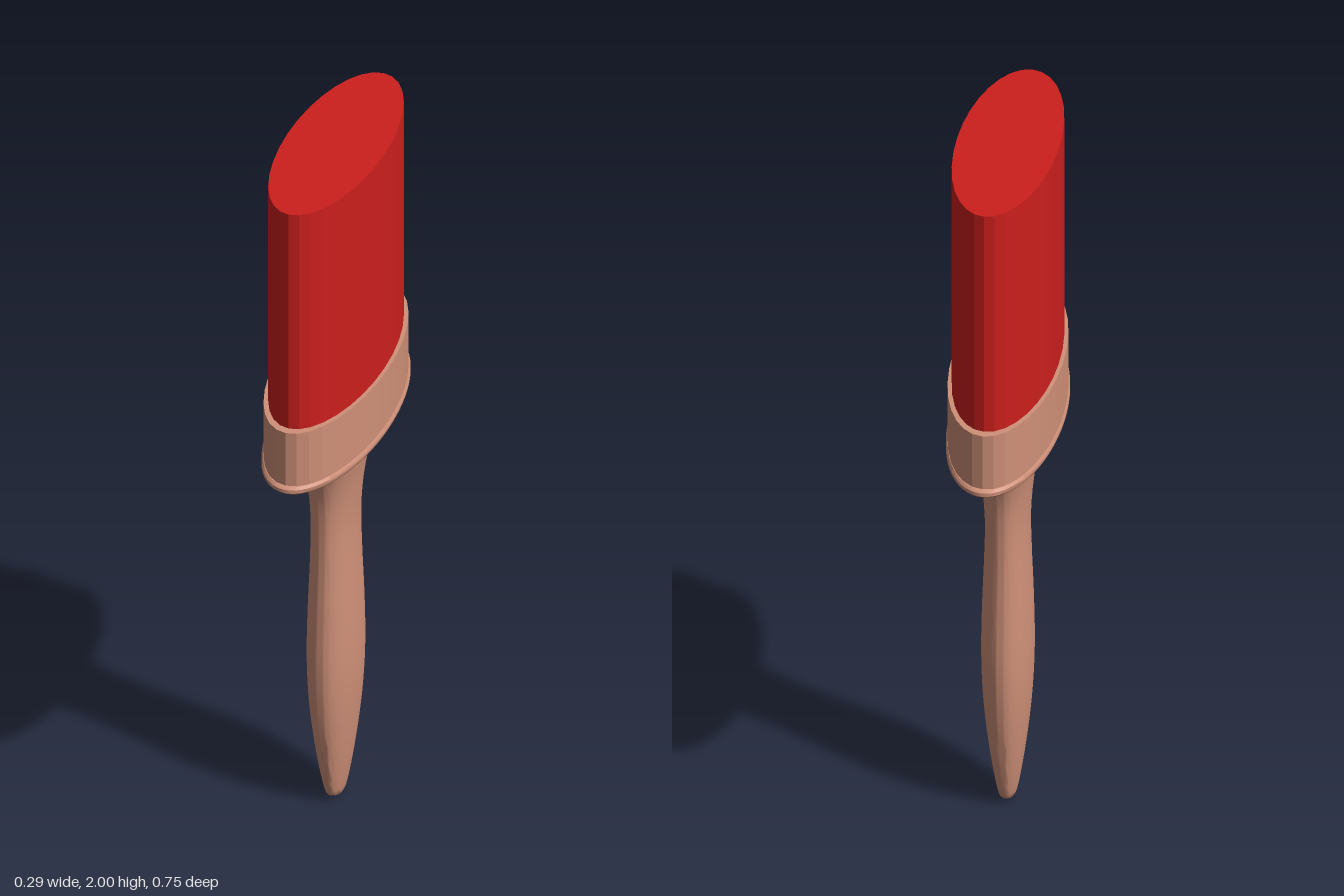
import * as THREE from 'three';
import { toCreasedNormals } from 'three/addons/utils/BufferGeometryUtils.js';

// Loft of elliptical sections, each [y, half width in x, half width in z], bottom to top.
function ellipticalLoft(sections, sides) {
  const geometry = new THREE.LatheGeometry(sections.map(([y]) => new THREE.Vector2(1, y)), sides);
  const position = geometry.attributes.position;
  for (let i = 0; i < position.count; i++) {
    const [, rx, rz] = sections[i % sections.length];
    position.setX(i, position.getX(i) * rx);
    position.setZ(i, position.getZ(i) * rz);
  }
  return geometry;
}

// Smooth curve through a few sections, resampled into more rings.
function smoothSections(sections, count) {
  const curve = new THREE.CatmullRomCurve3(sections.map(([y, rx, rz]) => new THREE.Vector3(rx, y, rz)), false, 'centripetal');
  return curve.getPoints(count).map(p => [p.y, p.x, p.z]);
}

export function createModel() {
  const group = new THREE.Group();
  const wood = new THREE.MeshStandardMaterial({ color: 0xcf9078 });
  const flatWood = new THREE.MeshStandardMaterial({ color: 0xcf9078, flatShading: true });
  const red = new THREE.MeshStandardMaterial({ color: 0xcc1f1d, flatShading: true });

  const add = (name, geometry, material) => {
    const mesh = new THREE.Mesh(geometry, material);
    mesh.name = name;
    group.add(mesh);
  };

  // Handle: rounded tip, swelling grip, narrow neck and wide flare
  const grip = smoothSections([
    [0.008, 0.018, 0.03], [0.02, 0.023, 0.045], [0.08, 0.034, 0.066], [0.2, 0.05, 0.094],
    [0.32, 0.061, 0.113], [0.45, 0.066, 0.12], [0.6, 0.064, 0.114], [0.74, 0.059, 0.106],
    [0.86, 0.057, 0.103], [0.96, 0.064, 0.108], [1.04, 0.075, 0.13], [1.09, 0.084, 0.163],
    [1.12, 0.1, 0.215], [1.14, 0.123, 0.29], [1.155, 0.143, 0.367],
  ], 56);
  // Tip cap below the grip, lip and shoulder above it
  const handle = [
    [0, 0, 0], [0.002, 0.011, 0.017], ...grip,
    [1.162, 0.146, 0.375], [1.172, 0.146, 0.375], [1.178, 0.142, 0.367], [1.178, 0, 0],
  ];
  add('handle', toCreasedNormals(ellipticalLoft(handle, 64), 0.7), wood);

  // Ferrule: straight oval collar
  add('ferrule', ellipticalLoft([[1.17, 0, 0], [1.17, 0.142, 0.364], [1.34, 0.142, 0.364], [1.34, 0, 0]], 32), flatWood);

  // Bristles: faceted oval block with a flat end
  add('bristles', ellipticalLoft([[1.3, 0, 0], [1.3, 0.132, 0.342], [2, 0.132, 0.342], [2, 0, 0]], 32), red);

  return group;
}
